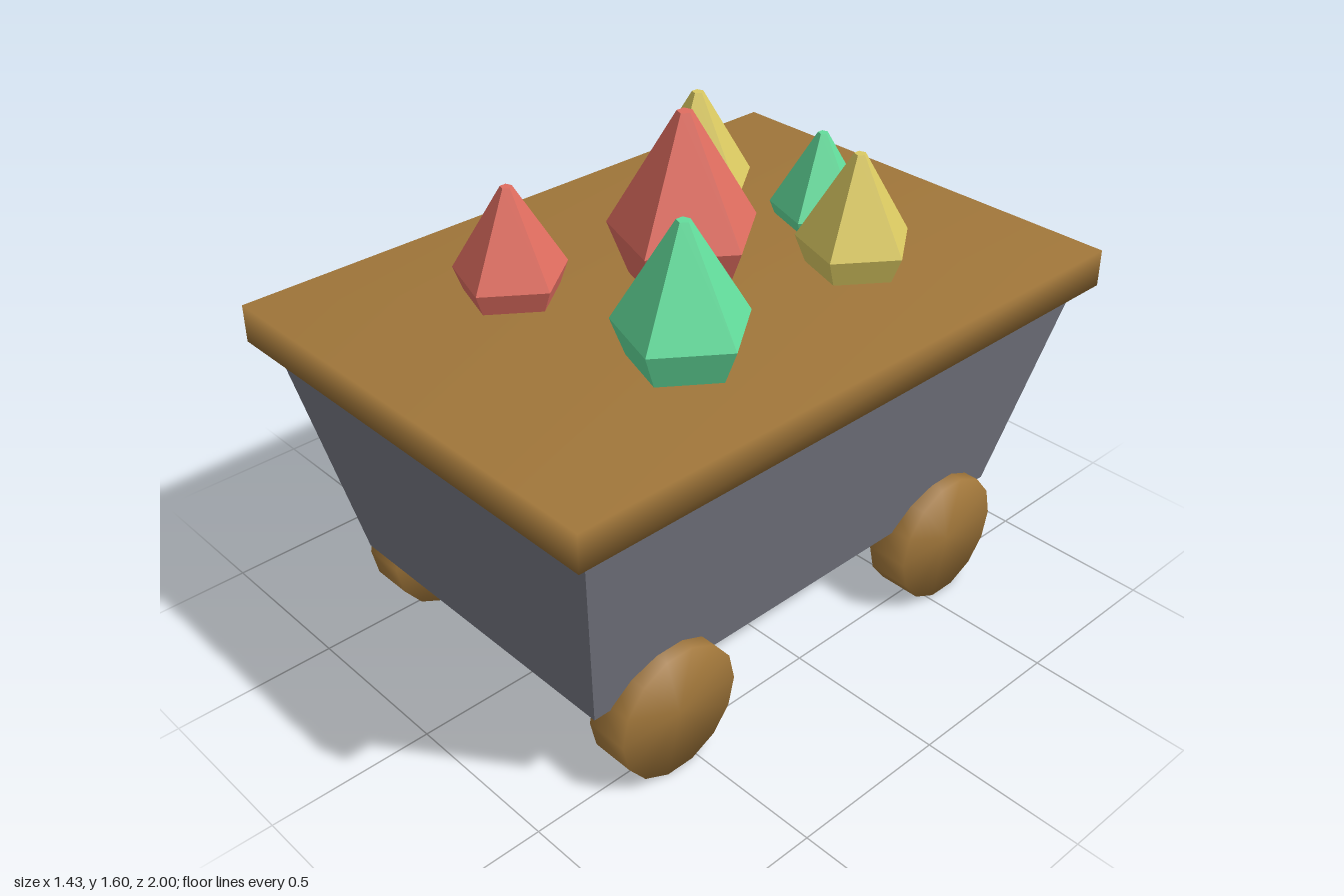
import * as THREE from 'three';
import { mergeVertices } from 'three/addons/utils/BufferGeometryUtils.js';

const material = (name, color) => {
  const m = new THREE.MeshStandardMaterial({ color });
  m.name = name;
  return m;
};

// Share corners between faces so the shading runs softly over the edges
function softened(geometry) {
  geometry.deleteAttribute('uv');
  geometry.deleteAttribute('normal');
  const merged = mergeVertices(geometry, 1e-4);
  merged.computeVertexNormals();
  return merged;
}

// Straight-sided box that widens toward the top
function taperedBox(bottomX, bottomZ, topX, topZ, y0, y1) {
  const geometry = new THREE.BoxGeometry(2, 1, 2);
  const p = geometry.attributes.position;
  for (let i = 0; i < p.count; i++) {
    const top = p.getY(i) > 0;
    p.setXYZ(i, p.getX(i) * (top ? topX : bottomX), top ? y1 : y0, p.getZ(i) * (top ? topZ : bottomZ));
  }
  geometry.computeVertexNormals();
  return geometry;
}

// Five-sided faceted gem, with its foot sunk slightly into the lid
function gemGeometry(radius, waist, tip) {
  const foot = 1.08;
  const profile = [
    [0, foot], [radius - 0.4 * (waist - foot), foot], [radius, waist], [radius * 0.1, tip], [0, tip],
  ].map(([r, y]) => new THREE.Vector2(r, y));
  const geometry = new THREE.LatheGeometry(profile, 5).rotateY(Math.PI / 2).toNonIndexed();
  geometry.computeVertexNormals();
  return geometry;
}

export function createModel() {
  const group = new THREE.Group();
  const wood = material('wood brown', 0xa0763a);
  const iron = material('iron grey', 0x747680);
  const red = material('gem red', 0xe06d60);
  const green = material('gem green', 0x63dd9c);
  const yellow = material('gem yellow', 0xdbca62);

  const add = (name, geometry, mat, x = 0, y = 0, z = 0) => {
    const mesh = new THREE.Mesh(geometry, mat);
    mesh.name = name;
    mesh.position.set(x, y, z);
    group.add(mesh);
  };

  // Cart tub and wooden top
  add('tub', taperedBox(0.515, 0.808, 0.672, 0.948, 0.28, 0.985), iron);
  add('lid', softened(new THREE.BoxGeometry(1.43, 0.115, 2)), wood, 0, 1.0375, 0);

  // Four wheels
  const wheel = softened(new THREE.CylinderGeometry(0.205, 0.205, 0.134, 14).rotateZ(Math.PI / 2));
  for (const x of [-0.515, 0.515]) {
    for (const z of [-0.565, 0.565]) {
      add(`${z > 0 ? 'front' : 'back'}${x > 0 ? 'Left' : 'Right'}Wheel`, wheel, wood, x, 0.2, z);
    }
  }

  // Gems: name, material, x, z, radius, waist height, tip height
  const gems = [
    ['largeRedGem', red, 0, 0, 0.225, 1.25, 1.6],
    ['smallRedGem', red, -0.26, 0.415, 0.17, 1.162, 1.422],
    ['largeGreenGem', green, 0.33, 0.315, 0.197, 1.2, 1.5],
    ['smallGreenGem', green, -0.005, -0.565, 0.153, 1.135, 1.37],
    ['leftYellowGem', yellow, 0.28, -0.403, 0.174, 1.177, 1.444],
    ['rightYellowGem', yellow, -0.322, -0.356, 0.18, 1.183, 1.463],
  ];
  for (const [name, mat, x, z, radius, waist, tip] of gems) {
    add(name, gemGeometry(radius, waist, tip), mat, x, 0, z);
  }
  return group;
}
